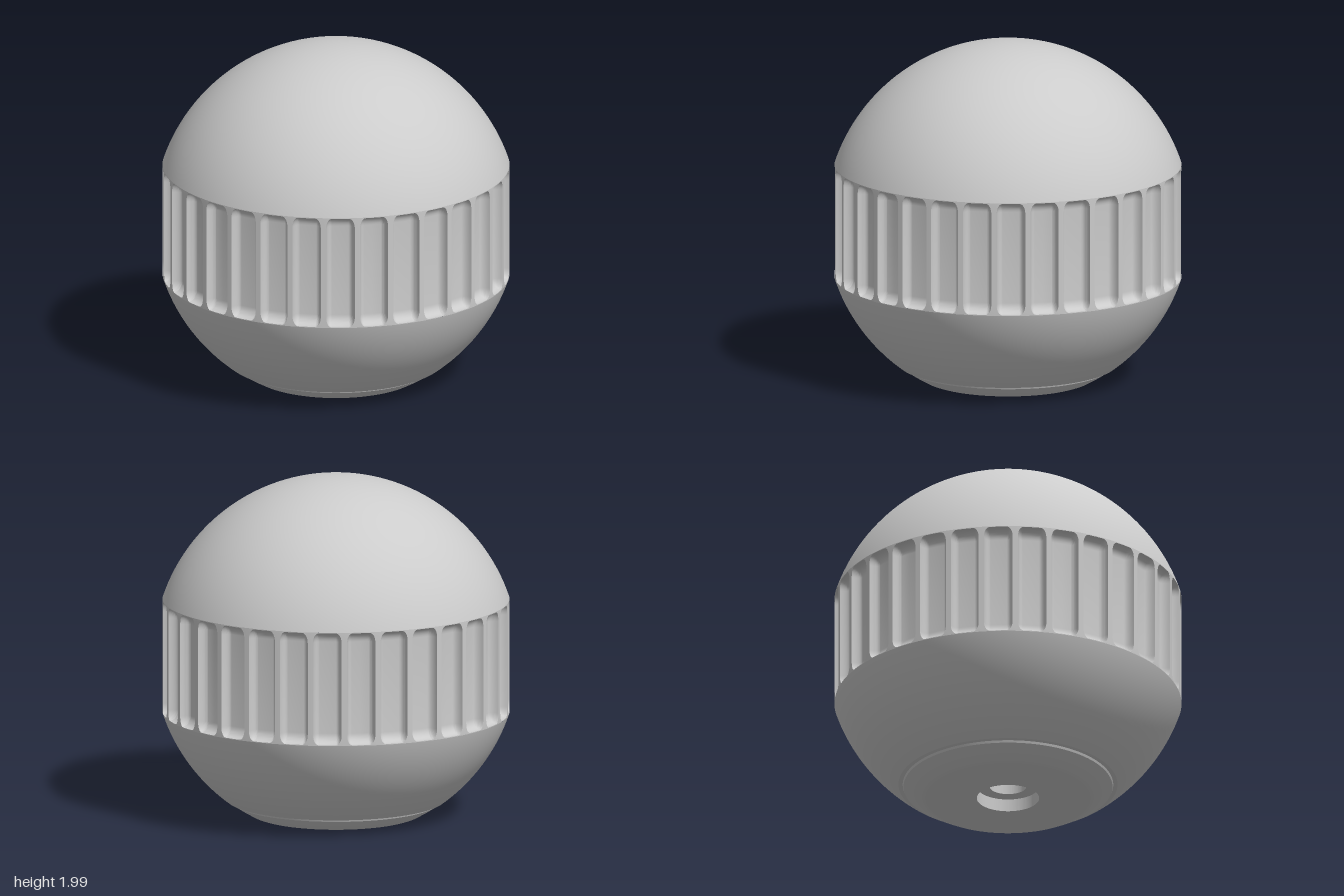
import * as THREE from 'three';
import { toCreasedNormals } from 'three/addons/utils/BufferGeometryUtils.js';

const R = 1.054, CY = 0.936;          // ball radius and centre height
const LOW = 0.603, HIGH = 1.269;      // edges of the grip band
const FLUTES = 32;

const material = new THREE.MeshStandardMaterial({ color: 0xcccccc });

// Points along the ball's outline between two heights, bottom to top
function ballArc(y0, y1, steps) {
  const a0 = Math.asin(Math.max(-1, (y0 - CY) / R));
  const a1 = Math.asin(Math.min(1, (y1 - CY) / R));
  return Array.from({ length: steps + 1 }, (_, i) => {
    const a = a0 + ((a1 - a0) * i) / steps;
    return new THREE.Vector2(Math.max(0, R * Math.cos(a)), CY + R * Math.sin(a));
  });
}

function lathe(name, points) {
  const geometry = toCreasedNormals(new THREE.LatheGeometry(points, 128), 0.3);
  const mesh = new THREE.Mesh(geometry, material);
  mesh.name = name;
  return mesh;
}

// Straight band with scooped pockets: flat floor, rounded sides and ends
function gripBand() {
  const depth = 0.055, core = 0.05, side = 0.033, end = 0.06, steps = 8;
  const pitch = (Math.PI * 2) / FLUTES;

  // Each row: height and how far the pocket has opened (0 at its tip, 1 on the floor)
  const rows = [{ y: LOW, open: 0 }];
  for (let i = 0; i <= steps; i++) {
    const a = (i / steps) * Math.PI / 2;
    rows.push({ y: LOW + 0.004 + end * (1 - Math.cos(a)), open: Math.sin(a) });
  }
  for (let i = rows.length - 1; i >= 0; i--) {
    rows.push({ y: LOW + HIGH - rows[i].y, open: rows[i].open });
  }

  // One pocket's cross-section as [angle, radius], from ridge to ridge
  function section(open) {
    const half = [];
    for (let i = 0; i <= steps; i++) {
      const a = (i / steps) * Math.PI / 2;
      half.push([core + side * open * Math.sin(a), 1 - depth * open * Math.cos(a)]);
    }
    const left = half.map(([u, r]) => [-u, r]).reverse();
    return [[-pitch / 2, 1], ...left, [0, 1 - depth * open], ...half];
  }

  const positions = [], index = [];
  let columns = 0;
  for (const { y, open } of rows) {
    const profile = section(open);
    columns = profile.length * FLUTES + 1;
    for (let c = 0; c < columns; c++) {
      const [u, r] = profile[c % profile.length];
      const angle = (Math.floor(c / profile.length) + 0.5) * pitch + u;
      positions.push(r * Math.sin(angle), y, r * Math.cos(angle));
    }
  }
  for (let j = 0; j < rows.length - 1; j++) {
    for (let i = 0; i < columns - 1; i++) {
      const a = j * columns + i, b = a + columns;
      index.push(a, a + 1, b + 1, a, b + 1, b);
    }
  }
  const geometry = new THREE.BufferGeometry();
  geometry.setAttribute('position', new THREE.Float32BufferAttribute(positions, 3));
  geometry.setIndex(index);
  const mesh = new THREE.Mesh(toCreasedNormals(geometry, 0.5), material);
  mesh.name = 'flutedGrip';
  return mesh;
}

export function createModel() {
  const group = new THREE.Group();
  group.name = 'ballKnob';

  // Upper dome
  group.add(lathe('upperDome', [new THREE.Vector2(1, HIGH), ...ballArc(HIGH + 0.004, CY + R, 40)]));

  // Lower body: stepped mounting hole, flat foot, small step, then the ball
  const foot = [
    [0, 0.45], [0.107, 0.45], [0.107, 0.08], [0.18, 0.08], [0.18, 0.005],
    [0.475, 0.005], [0.495, 0.012], [0.55, 0.043], [0.602, 0.077], [0.607, 0.09],
  ].map(([x, y]) => new THREE.Vector2(x, y));
  group.add(lathe('lowerBody', [...foot, ...ballArc(0.092, LOW - 0.002, 24), new THREE.Vector2(1, LOW)]));

  group.add(gripBand());
  return group;
}
